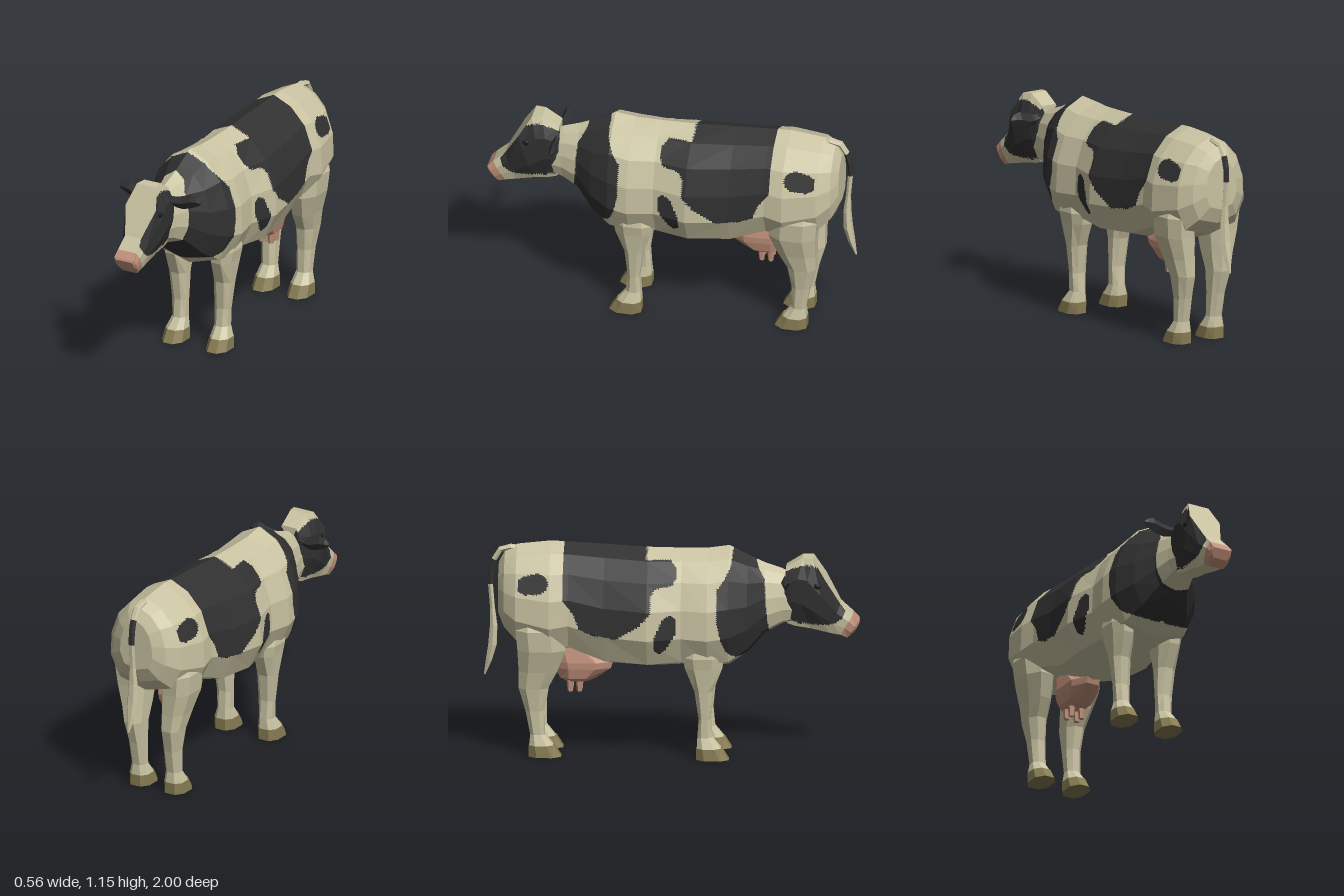
import * as THREE from 'three';

const mat = (name, color) => Object.assign(new THREE.MeshStandardMaterial({ color }), { name });
const V = (x, y, z) => new THREE.Vector3(x, y, z);

// Full ring from the +x half, listed from top to bottom
const mirrorRing = half => [...half, ...half.filter(p => p.x > 0).reverse().map(p => V(-p.x, p.y, p.z))];

// Point (z, y) inside a side-on outline
function inside(poly, z, y) {
  let hit = false;
  poly.forEach(([z1, y1], i) => {
    const [z2, y2] = poly[(i + 1) % poly.length];
    if ((y1 > y) !== (y2 > y) && z < z1 + (y - y1) * (z2 - z1) / (y2 - y1)) hit = !hit;
  });
  return hit;
}

// Flat-faceted capped skin over rings; each facet is cut n times so paint can follow an outline
function loft(name, rings, mats, paint = () => 0, n = 1) {
  const m = rings[0].length, last = rings.length - 1, tris = [];
  for (let i = 0; i < last; i++) for (let j = 0; j < m; j++) {
    const k = (j + 1) % m;
    const a = rings[i][j], b = rings[i][k], c = rings[i + 1][k], d = rings[i + 1][j];
    if (j < m / 2) tris.push([a, b, c, i, j], [a, c, d, i, j]);
    else tris.push([a, b, d, i, j], [b, c, d, i, j]);
  }
  for (const [e, i] of [[0, -1], [last, last]]) {
    const mid = rings[e].reduce((s, p) => s.add(p), V(0, 0, 0)).divideScalar(m);
    rings[e].forEach((p, j) => {
      const q = rings[e][(j + 1) % m];
      tris.push(e ? [p, q, mid, i, j] : [q, p, mid, i, j]);
    });
  }
  const volume = tris.reduce((s, [a, b, c]) => s + a.dot(b.clone().cross(c)), 0);
  const buckets = mats.map(() => []);
  for (const [a, b0, c0, i, j] of tris) {
    const [b, c] = volume < 0 ? [c0, b0] : [b0, c0];
    const at = (u, v) => a.clone().addScaledVector(b.clone().sub(a), u / n).addScaledVector(c.clone().sub(a), v / n);
    const put = (p, q, r) => {
      const mid = p.clone().add(q).add(r).divideScalar(3);
      for (const t of [p, q, r]) buckets[paint(mid, i, j)].push(t.x, t.y, t.z);
    };
    for (let u = 0; u < n; u++) for (let v = 0; v < n - u; v++) {
      put(at(u, v), at(u + 1, v), at(u, v + 1));
      if (u + v < n - 1) put(at(u + 1, v), at(u + 1, v + 1), at(u, v + 1));
    }
  }
  const g = new THREE.BufferGeometry();
  g.setAttribute('position', new THREE.Float32BufferAttribute(buckets.flat(), 3));
  let start = 0;
  buckets.forEach((b, k) => { g.addGroup(start, b.length / 3, k); start += b.length / 3; });
  g.computeVertexNormals();
  const mesh = new THREE.Mesh(g, mats);
  mesh.name = name;
  return mesh;
}

// Upright limb: rows of [y, centre x, half width, back z, front z], with cut corners
const CORNERS = [[.45, 1], [1, .45], [1, -.5], [.5, -1], [-.5, -1], [-1, -.5], [-1, .45], [-.45, 1]];
const limb = (name, rows, material, s = 1) => loft(name, rows.map(([y, cx, w, zb, zf]) =>
  CORNERS.map(([u, v]) => V(s * (cx + u * w), y, (zb + zf) / 2 + v * (zf - zb) / 2))), [material]);

export function createModel() {
  const cream = mat('cream hide', 0xc9c3a2), black = mat('black hide', 0x313131);
  const pink = mat('pink skin', 0xc2917a), horn = mat('hoof horn', 0x867b52), dark = mat('eye', 0x1c1b1a);
  const cow = new THREE.Group();
  cow.name = 'cow';

  // Torso and neck: [z, top, bottom, half width]
  const PROFILE = [[0, 1], [.43, .92], [.78, .765], [.975, .54], [1, .3], [.74, .08], [0, 0]];
  const torso = [
    [-.918, 1.03, .75, .1], [-.885, 1.095, .67, .165], [-.82, 1.13, .6, .22], [-.64, 1.15, .54, .255],
    [-.54, 1.145, .565, .238], [-.35, 1.135, .49, .252], [-.12, 1.122, .475, .28], [.06, 1.12, .485, .237],
    [.2, 1.122, .475, .26], [.31, 1.138, .49, .245], [.41, 1.085, .56, .19], [.5, 1.045, .665, .115],
    [.59, 1.015, .715, .088], [.68, .97, .74, .07],
  ].map(([z, t, b, w]) => mirrorRing(PROFILE.map(([u, v]) => V(u * w, b + v * (t - b), z))));
  const patches = [
    // chest band
    [[.5, .97], [.46, 1.04], [.42, 1.2], [.335, 1.2], [.325, 1.06], [.29, .99], [.25, .94], [.25, .77], [.275, .66], [.3, .6],
      [.38, .545], [.53, .6], [.51, .8]],
    // saddle
    [[-.13, 1.2], [-.13, 1.075], [0, 1.075], [.03, 1.04], [.035, .99], [.01, .955], [-.07, .945], [-.1, .91], [-.1, .82],
      [-.14, .77], [-.2, .72], [-.29, .675], [-.4, .69], [-.48, .72], [-.51, .8], [-.57, .88], [-.57, 1.2]],
    // belly spot
    [[.035, .78], [.01, .805], [-.03, .795], [-.055, .74], [-.08, .69], [-.08, .61], [-.05, .59], [-.02, .615], [.03, .7]],
    // rump spot
    [[-.645, .97], [-.665, 1], [-.7, 1.012], [-.78, .995], [-.81, .97], [-.81, .92], [-.77, .9], [-.68, .91], [-.65, .935]],
  ];
  cow.add(loft('body', torso, [cream, black], p => patches.some(o => inside(o, p.z, p.y)) ? 1 : 0, 14));

  // Head: [top z, top y, bottom z, bottom y, top, middle and bottom half widths]
  const head = [
    [.61, 1.03, .6, .76, .045, .08, .045], [.7, 1.085, .62, .725, .048, .095, .05], [.755, 1.08, .66, .712, .062, .1, .05],
    [.82, .975, .74, .7, .093, .103, .05], [.9, .835, .84, .677, .05, .075, .05],
    [.965, .775, .9, .667, .055, .068, .055], [.995, .742, .938, .65, .06, .066, .046], [1, .73, .975, .682, .05, .055, .042],
  ].map(([zt, yt, zb, yb, a, b, c]) => mirrorRing([[a, 0], [b, .3], [b * .95, .65], [c, 1]]
    .map(([x, t]) => V(x, yt + t * (yb - yt), zt + t * (zb - zt)))));
  const cheek = [[.925, .8], [.83, .96], [.78, 1.04], [.72, 1.05], [.57, 1], [.57, .78], [.61, .75], [.68, .73], [.8, .722],
    [.87, .73], [.91, .76]];
  cow.add(loft('head', head, [cream, black, pink], (p, i, j) => {
    if (i >= 5) return 2;
    return j !== 7 && j !== 3 && inside(cheek, p.z, p.y) ? 1 : 0;
  }, 8));

  // Udder
  cow.add(limb('udder', [[.6, 0, .07, -.62, -.46], [.5, 0, .085, -.63, -.31], [.465, 0, .082, -.62, -.32],
    [.41, 0, .068, -.59, -.4], [.39, 0, .045, -.56, -.44]], pink));

  for (const s of [1, -1]) {
    const side = s > 0 ? 'left' : 'right';

    // Legs and hooves
    cow.add(limb(side + 'FrontLeg', [[.66, .14, .06, .1, .28], [.56, .147, .07, .07, .285], [.5, .142, .064, .08, .278],
      [.375, .138, .053, .13, .23], [.22, .131, .044, .152, .215], [.12, .13, .04, .145, .225], [.06, .136, .055, .142, .272]], cream, s));
    cow.add(limb(side + 'HindLeg', [[.8, .14, .055, -.8, -.6], [.7, .15, .085, -.82, -.56], [.59, .14, .085, -.81, -.555],
      [.47, .125, .066, -.805, -.6], [.375, .117, .055, -.805, -.65], [.25, .109, .044, -.77, -.67], [.12, .107, .04, -.745, -.668],
      [.06, .108, .055, -.75, -.622]], cream, s));
    for (const [part, x, z] of [['FrontHoof', .136, .14], ['HindHoof', .108, -.752]])
      cow.add(limb(side + part, [[.062, x, .057, z, z + .134], [0, x, .062, z, z + .172]], horn, s));

    // Teats
    for (const z of [-.488, -.537]) {
      const teat = new THREE.Mesh(new THREE.CylinderGeometry(.022, .014, .085, 6).toNonIndexed(), pink);
      teat.geometry.computeVertexNormals();
      teat.position.set(s * .031, .378, z);
      teat.name = side + 'Teat';
      cow.add(teat);
    }

    // Ear: [x, bottom y, top y, z, half thickness]
    cow.add(loft(side + 'Ear', [[.06, .945, .99, .62, .018], [.1, .93, .99, .62, .02], [.14, .925, 1, .615, .022],
      [.19, .94, 1.02, .612, .02], [.225, .955, 1.01, .612, .014], [.247, .968, .99, .615, .005]]
      .map(([x, b, t, z, h]) => [V(s * x, t, z), V(s * x, (t + b) / 2, z + h), V(s * x, b, z), V(s * x, (t + b) / 2, z - h)]), [black]));

    // Eye
    const eye = new THREE.Mesh(new THREE.SphereGeometry(.02, 8, 6), dark);
    eye.scale.set(.4, .8, 1);
    eye.position.set(s * .096, .938, .778);
    eye.name = side + 'Eye';
    cow.add(eye);
  }

  // Tail: [z, y, radius] from the root to the brush
  const path = [[-.79, 1.1, .024], [-.855, 1.112, .021], [-.91, 1.098, .02], [-.943, 1.045, .019], [-.96, .98, .019], [-.963, .91, .018],
    [-.952, .78, .018], [-.946, .68, .028], [-.952, .58, .032], [-.97, .5, .024], [-.994, .415, .006]];
  const tail = path.map(([z, y, r], i) => {
    const a = path[Math.max(i - 1, 0)], b = path[Math.min(i + 1, path.length - 1)];
    const len = Math.hypot(b[0] - a[0], b[1] - a[1]), tz = (b[0] - a[0]) / len, ty = (b[1] - a[1]) / len;
    return Array.from({ length: 6 }, (_, k) => {
      const c = r * Math.cos(k * Math.PI / 3), n = r * .8 * Math.sin(k * Math.PI / 3);
      return V(c, y + n * tz, z - n * ty);
    });
  });
  cow.add(loft('tail', tail, [cream, black], (p, i) => i === 3 || i === 4 ? 1 : 0));
  return cow;
}
